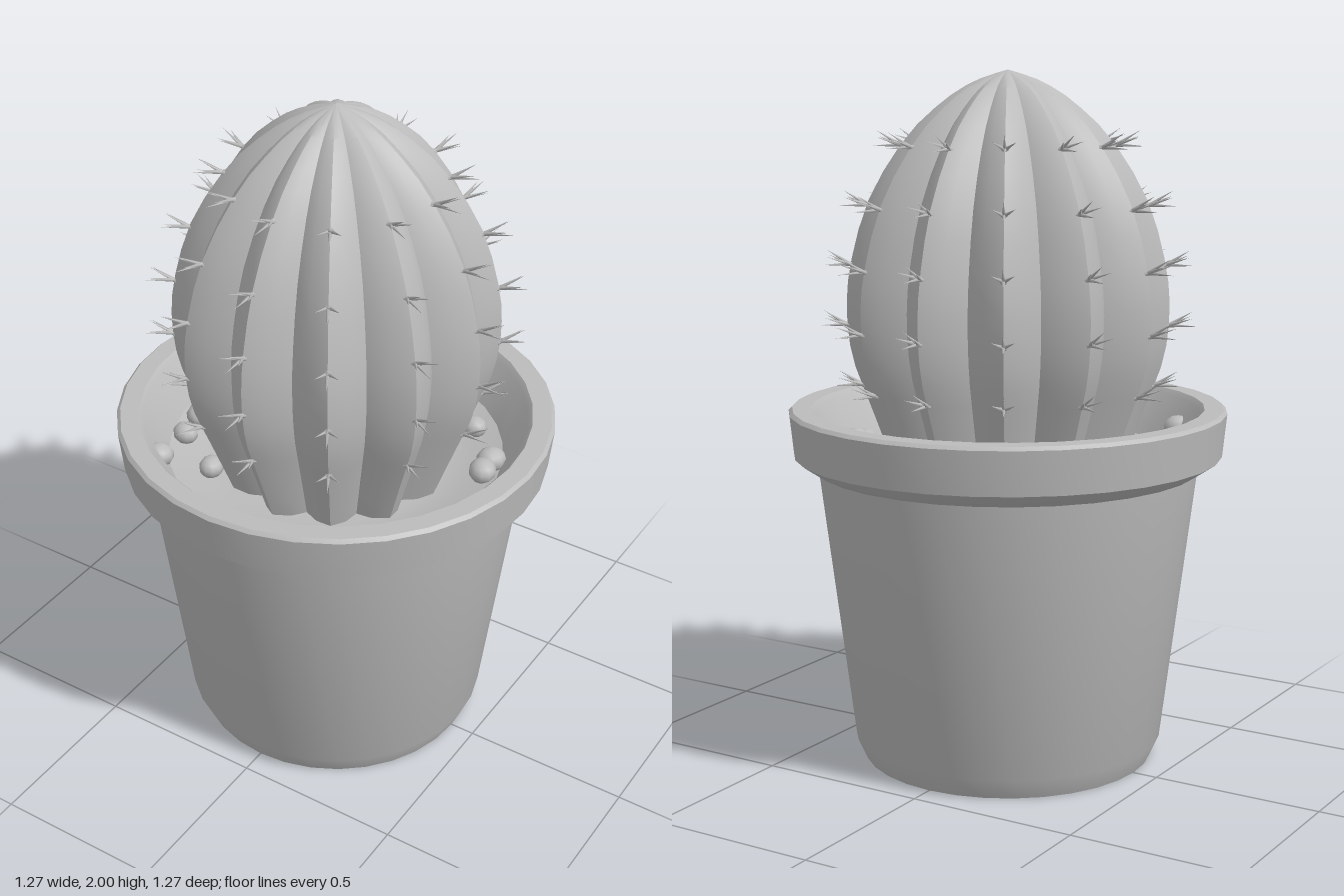
import * as THREE from 'three';
import { toCreasedNormals, mergeGeometries } from 'three/addons/utils/BufferGeometryUtils.js';

const grey = new THREE.MeshStandardMaterial({ color: 0xbbbbbb });
grey.name = 'stone grey';

function addMesh(parent, name, geometry) {
  const mesh = new THREE.Mesh(geometry, grey);
  mesh.name = name;
  parent.add(mesh);
  return mesh;
}

const points = (pairs) => pairs.map(([r, y]) => new THREE.Vector2(r, y));

// Ridge outline of the cactus, from the soil to the tip
const ridge = new THREE.SplineCurve(points([
  [0.33, 0.85], [0.4, 1.04], [0.45, 1.18], [0.465, 1.32], [0.45, 1.46],
  [0.395, 1.64], [0.29, 1.81], [0.18, 1.915], [0.09, 1.97], [0, 2],
]));
const RIBS = 12;

function ridgeRadius(y) {
  let best = ridge.getPoint(0);
  for (let i = 1; i <= 200; i++) {
    const p = ridge.getPoint(i / 200);
    if (Math.abs(p.y - y) < Math.abs(best.y - y)) best = p;
  }
  return best.x;
}

// Lathe whose radius is pulled in between the ribs
function cactusBody() {
  const profile = ridge.getPoints(20);
  profile[20].x = 0;
  const geo = new THREE.LatheGeometry(profile, RIBS * 4);
  const p = geo.attributes.position;
  const inset = [1, 0.93, 0.825, 0.93];
  for (let i = 0; i < p.count; i++) {
    const k = inset[Math.floor(i / profile.length) % 4];
    p.setXYZ(i, p.getX(i) * k, p.getY(i), p.getZ(i) * k);
  }
  return toCreasedNormals(geo, 0.55);
}

// One tuft of four spines growing towards +z
function spineTuft() {
  const up = new THREE.Vector3(0, 1, 0);
  const spines = [[0, -0.05, 1, 0.09], [0, 0.6, 1, 0.09], [-0.5, 0.35, 1, 0.085], [0.5, 0.35, 1, 0.085]];
  return mergeGeometries(spines.map(([x, y, z, length]) => {
    const dir = new THREE.Vector3(x, y, z).normalize();
    return new THREE.ConeGeometry(0.007, length, 5)
      .translate(0, length / 2 - 0.01, 0)
      .applyQuaternion(new THREE.Quaternion().setFromUnitVectors(up, dir));
  }));
}

export function createModel() {
  const model = new THREE.Group();
  model.name = 'pottedCactus';

  // Pot: recessed foot, tapered wall, overhanging rim, inner wall
  const pot = new THREE.LatheGeometry(points([
    [0, 0.07], [0.385, 0.07], [0.415, 0], [0.425, 0], [0.452, 0.06], [0.552, 0.862],
    [0.562, 0.865], [0.622, 0.905], [0.635, 1.03], [0.625, 1.04], [0.57, 1.04],
    [0.557, 1.025], [0.485, 0.89],
  ]), 32);
  addMesh(model, 'pot', toCreasedNormals(pot, 0.6));

  // Soil, dipping slightly towards the plant
  addMesh(model, 'soil', new THREE.LatheGeometry(points([[0.49, 0.9], [0.4, 0.87], [0.3, 0.85], [0, 0.85]]), 32));

  addMesh(model, 'cactusBody', cactusBody());

  // Spine tufts along every ridge
  const spines = new THREE.Group();
  spines.name = 'spines';
  model.add(spines);
  const tuft = spineTuft();
  for (const y of [1.1, 1.275, 1.45, 1.62, 1.79]) {
    const r = ridgeRadius(y);
    for (let i = 0; i < RIBS; i++) {
      const a = (i / RIBS) * Math.PI * 2;
      const mesh = addMesh(spines, 'spineTuft', tuft);
      mesh.position.set(Math.sin(a) * r, y, Math.cos(a) * r);
      mesh.rotation.y = a;
    }
  }

  // Pebbles on the soil: x, y, z, radius
  const pebbles = new THREE.Group();
  pebbles.name = 'pebbles';
  model.add(pebbles);
  const stone = new THREE.SphereGeometry(1, 10, 7);
  [
    [0.3, 0.91, -0.29, 0.04], [0.43, 0.92, -0.16, 0.045], [0.43, 0.91, -0.11, 0.045],
    [0.2, 0.9, -0.39, 0.04], [-0.45, 0.93, -0.235, 0.045], [-0.42, 0.91, 0.1, 0.045],
    [-0.4, 0.91, 0.2, 0.04], [-0.365, 0.95, 0.375, 0.045], [-0.245, 0.9, 0.285, 0.04],
  ].forEach(([x, y, z, r], i) => {
    const mesh = addMesh(pebbles, 'pebble', stone);
    mesh.position.set(x, y, z);
    mesh.scale.set(r, r * 0.8, r * 0.9);
    mesh.rotation.y = i;
  });

  return model;
}
